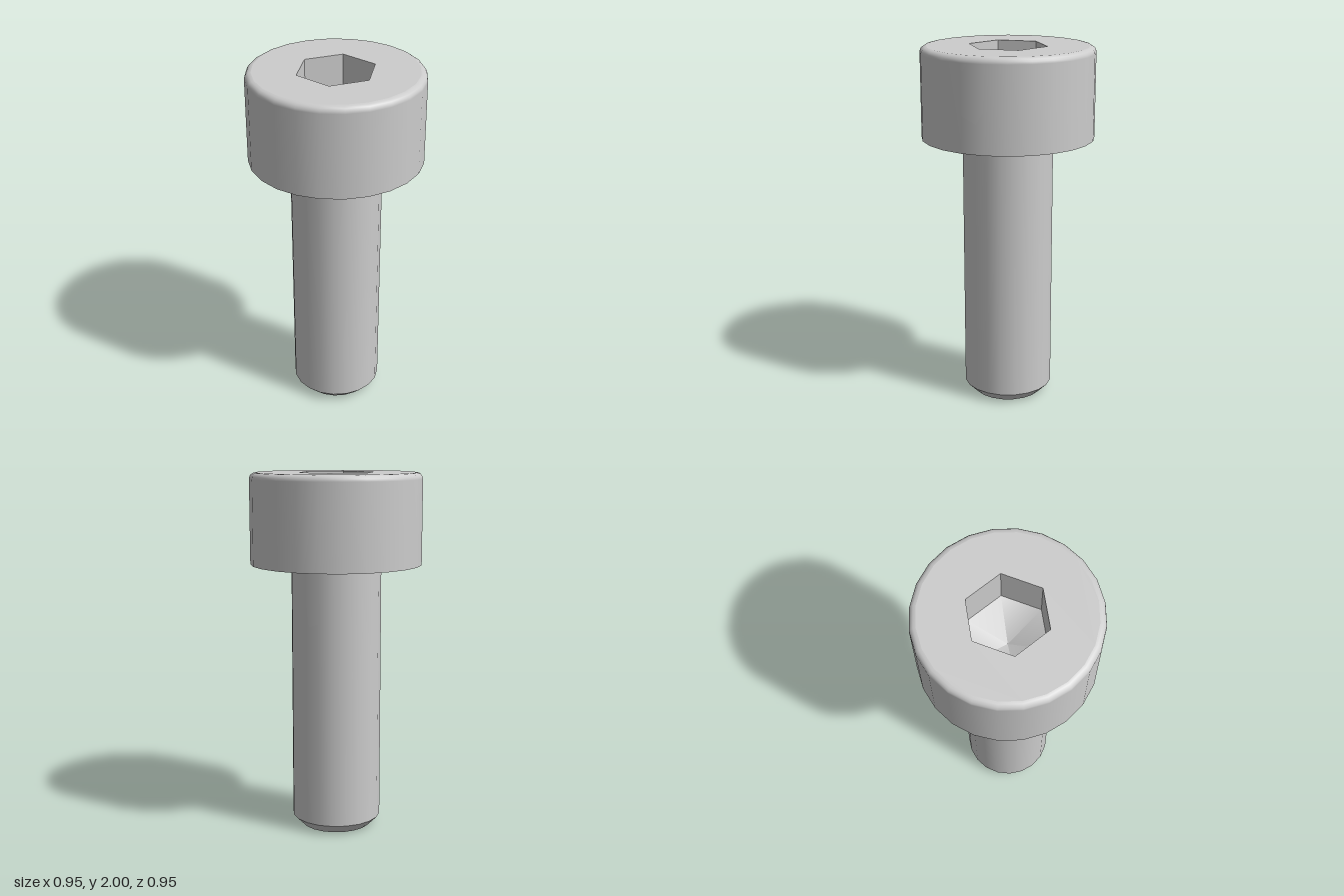
import * as THREE from 'three';

const HEAD_R = 0.475, HEAD_SIDES = 24, HEAD_BOTTOM = 1.5, TOP = 2, FILLET = 0.035;
const SHANK_R = 0.25, TIP_R = 0.195, SHANK_SIDES = 20, CHAMFER = 0.055;
const SOCKET_R = 0.217, SOCKET_FLOOR = 1.75, SOCKET_APEX = 1.63;

const lathe = (points, sides) =>
  new THREE.LatheGeometry(points.map(([r, y]) => new THREE.Vector2(r, y)), sides);

// Regular polygon with a corner on the z axis
const polygon = (radius, sides) => Array.from({ length: sides }, (_, i) => {
  const a = Math.PI / 2 + (i / sides) * Math.PI * 2;
  return new THREE.Vector2(radius * Math.cos(a), radius * Math.sin(a));
});

export function createModel() {
  const group = new THREE.Group();
  const steel = new THREE.MeshStandardMaterial({ color: 0xcccccc });
  steel.name = 'steel';

  const add = (name, geometry) => {
    const mesh = new THREE.Mesh(geometry, steel);
    mesh.name = name;
    group.add(mesh);
  };

  // Head wall with a rounded upper rim
  const headProfile = [[HEAD_R, HEAD_BOTTOM]];
  for (let i = 0; i <= 4; i++) {
    const a = (i / 4) * Math.PI / 2;
    headProfile.push([
      HEAD_R - FILLET + FILLET * Math.cos(a),
      TOP - FILLET + FILLET * Math.sin(a),
    ]);
  }
  add('headWall', lathe(headProfile, HEAD_SIDES));

  // Flat underside of the head
  add('headUnderside', new THREE.CircleGeometry(HEAD_R, HEAD_SIDES)
    .rotateX(Math.PI / 2).translate(0, HEAD_BOTTOM, 0));

  // Flat top with a hexagonal opening
  const face = new THREE.Shape(polygon(HEAD_R - FILLET, HEAD_SIDES));
  face.holes.push(new THREE.Path(polygon(SOCKET_R, 6)));
  add('headTop', new THREE.ShapeGeometry(face).rotateX(-Math.PI / 2).translate(0, TOP, 0));

  // Hex socket: six flat inward walls and a conical floor
  const walls = lathe([[SOCKET_R, TOP], [SOCKET_R, SOCKET_FLOOR]], 6).toNonIndexed();
  walls.computeVertexNormals();
  add('socketWalls', walls);
  add('socketFloor', lathe([[SOCKET_R, SOCKET_FLOOR], [0, SOCKET_APEX]], 6));

  // Shank, chamfered tip and end face
  add('shank', lathe([[SHANK_R, CHAMFER], [SHANK_R, HEAD_BOTTOM]], SHANK_SIDES));
  add('tipChamfer', lathe([[TIP_R, 0], [SHANK_R, CHAMFER]], SHANK_SIDES));
  add('tipEnd', new THREE.CircleGeometry(TIP_R, SHANK_SIDES).rotateX(Math.PI / 2));

  return group;
}
